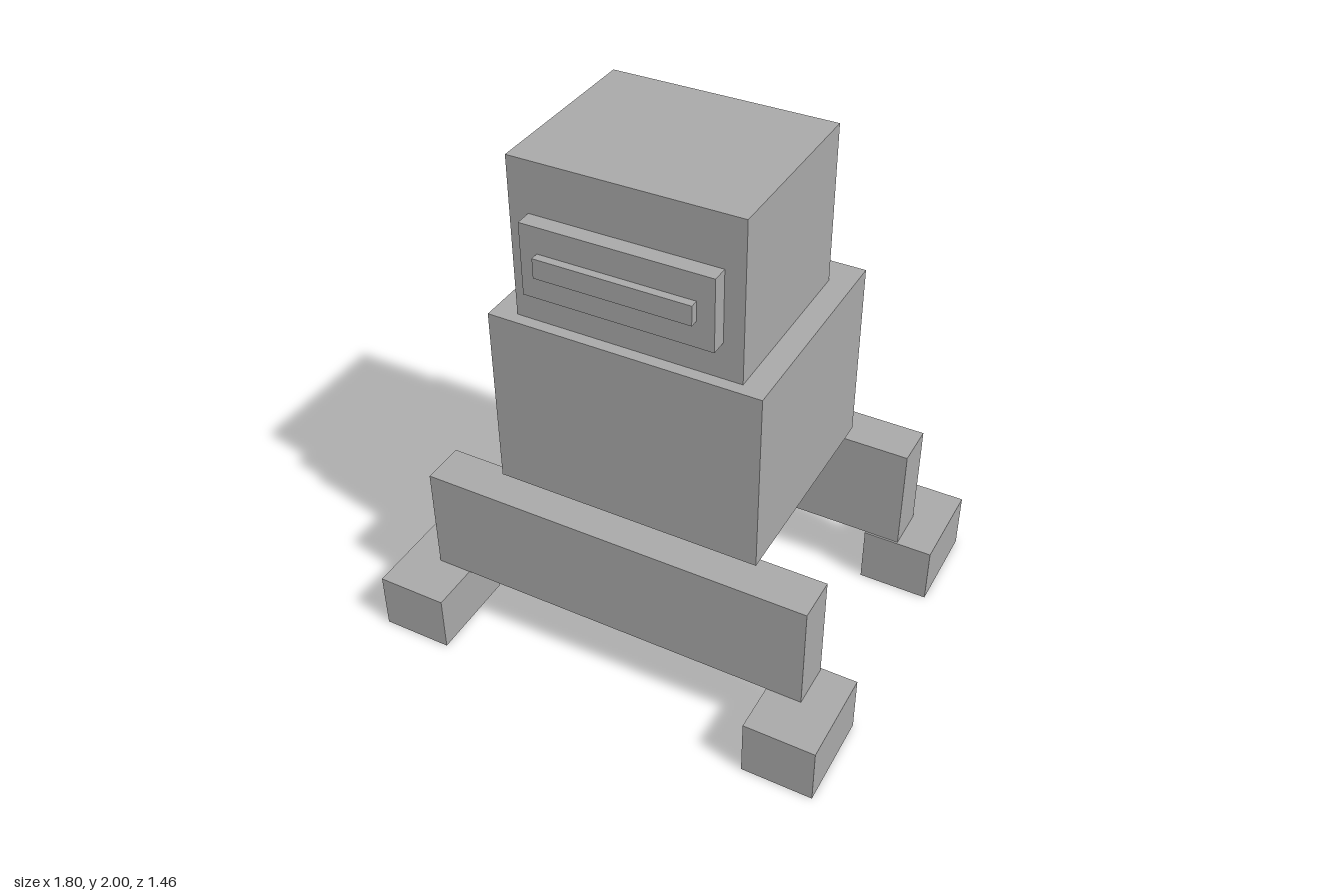
import * as THREE from 'three';

export function createModel() {
  const model = new THREE.Group();
  const grey = new THREE.MeshStandardMaterial({ color: 0xa8a8a8 });
  grey.name = 'grey';

  // Box spanning the given minimum and maximum corners
  function box(name, [x0, y0, z0], [x1, y1, z1]) {
    const mesh = new THREE.Mesh(new THREE.BoxGeometry(x1 - x0, y1 - y0, z1 - z0), grey);
    mesh.position.set((x0 + x1) / 2, (y0 + y1) / 2, (z0 + z1) / 2);
    mesh.name = name;
    model.add(mesh);
    return mesh;
  }

  // Body and head, with the head set slightly forward
  box('body', [-0.515, 0.675, -0.425], [0.515, 1.39, 0.425]);
  box('head', [-0.425, 1.39, -0.305], [0.425, 2, 0.38]);

  // Stepped face plate
  box('visor', [-0.352, 1.53, 0.38], [0.352, 1.805, 0.442]);
  box('visorBar', [-0.288, 1.63, 0.442], [0.288, 1.705, 0.473]);

  // Front and back leg beams, each on two feet
  for (const [end, s] of [['front', 1], ['back', -1]]) {
    const leg = box(end + 'Leg', [-0.76, 0.23, -0.085], [0.76, 0.657, 0.085]);
    leg.position.z = s * 0.458;
    for (const [side, t] of [['Left', 1], ['Right', -1]]) {
      const foot = box(end + side + 'Foot', [-0.136, 0, -0.183], [0.136, 0.23, 0.183]);
      foot.position.x = t * 0.762;
      foot.position.z = s * 0.548;
    }
  }
  return model;
}
